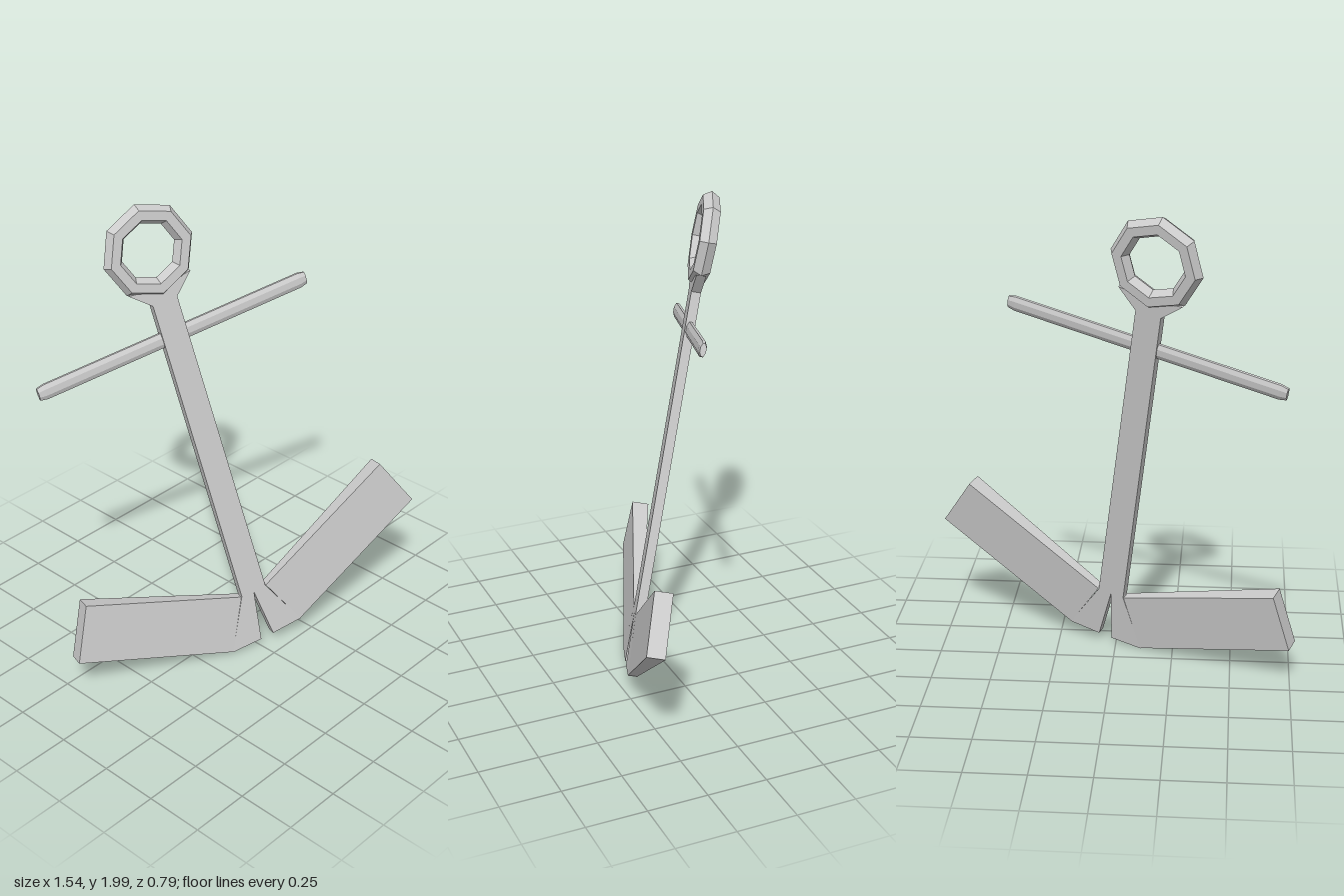
import * as THREE from 'three';

const material = new THREE.MeshStandardMaterial({ color: 0xcccccc, flatShading: true, side: THREE.DoubleSide });

function part(name, geometry, parent) {
  const mesh = new THREE.Mesh(geometry, material);
  mesh.name = name;
  parent.add(mesh);
  return mesh;
}

// Flat plate from an outline, centred on z = 0
function plate(outline, depth) {
  const shape = new THREE.Shape(outline.map(([x, y]) => new THREE.Vector2(x, y)));
  return new THREE.ExtrudeGeometry(shape, { depth, bevelEnabled: false }).translate(0, 0, -depth / 2);
}

export function createModel() {
  const model = new THREE.Group();
  model.name = 'anchor';
  const body = new THREE.Group();
  body.name = 'tiltedAnchor';
  model.add(body);

  const thin = 0.04;

  // Shank, splitting into two feet at the bottom
  part('shank', plate([
    [-0.054, 1.6], [-0.058, 0.21], [-0.17, -0.024], [-0.03, -0.028], [0, 0.205],
    [0.03, -0.028], [0.17, -0.024], [0.058, 0.21], [0.054, 1.6],
  ], thin), body);

  // Flare joining the shank to the ring
  part('ringNeck', plate([
    [-0.054, 1.595], [0.054, 1.595], [0.137, 1.673], [0, 1.655], [-0.137, 1.673],
  ], thin), body);

  // Eight-sided ring with a hexagonal section
  part('ring', new THREE.TorusGeometry(0.155, 0.04, 6, 8), body).position.y = 1.81;

  // Flattened crossbar with slightly tapered ends
  const half = 0.605;
  const barProfile = [[0, -half], [0.8, -half], [1, -half + 0.03], [1, half - 0.03], [0.8, half], [0, half]];
  const bar = new THREE.LatheGeometry(
    barProfile.map(([r, y]) => new THREE.Vector2(r, y)), 8, Math.PI / 8);
  bar.scale(0.034, 1, 0.016).rotateZ(Math.PI / 2);
  part('crossbar', bar, body).position.set(0.005, 1.44, 0);

  // Broad arms, thicker toward the outer end
  for (const [name, turn] of [['leftArm', 0], ['rightArm', Math.PI]]) {
    const geometry = new THREE.BoxGeometry(0.718, 0.256, 1);
    const p = geometry.attributes.position;
    for (let i = 0; i < p.count; i++) {
      p.setZ(i, p.getZ(i) * (p.getX(i) > 0 ? 0.074 : thin));
    }
    geometry.rotateZ(0.436).translate(0.44, 0.245, 0).rotateY(turn);
    geometry.computeVertexNormals();
    part(name, geometry, body);
  }

  // Lean of the whole anchor
  const up = new THREE.Vector3(-0.122, 0.964, -0.237).normalize();
  const across = new THREE.Vector3(0.925, 0.19, 0.33);
  across.addScaledVector(up, -across.dot(up)).normalize();
  const facing = new THREE.Vector3().crossVectors(across, up);
  body.quaternion.setFromRotationMatrix(new THREE.Matrix4().makeBasis(across, up, facing));
  body.position.set(0.036, 0.064, 0.156);
  return model;
}
